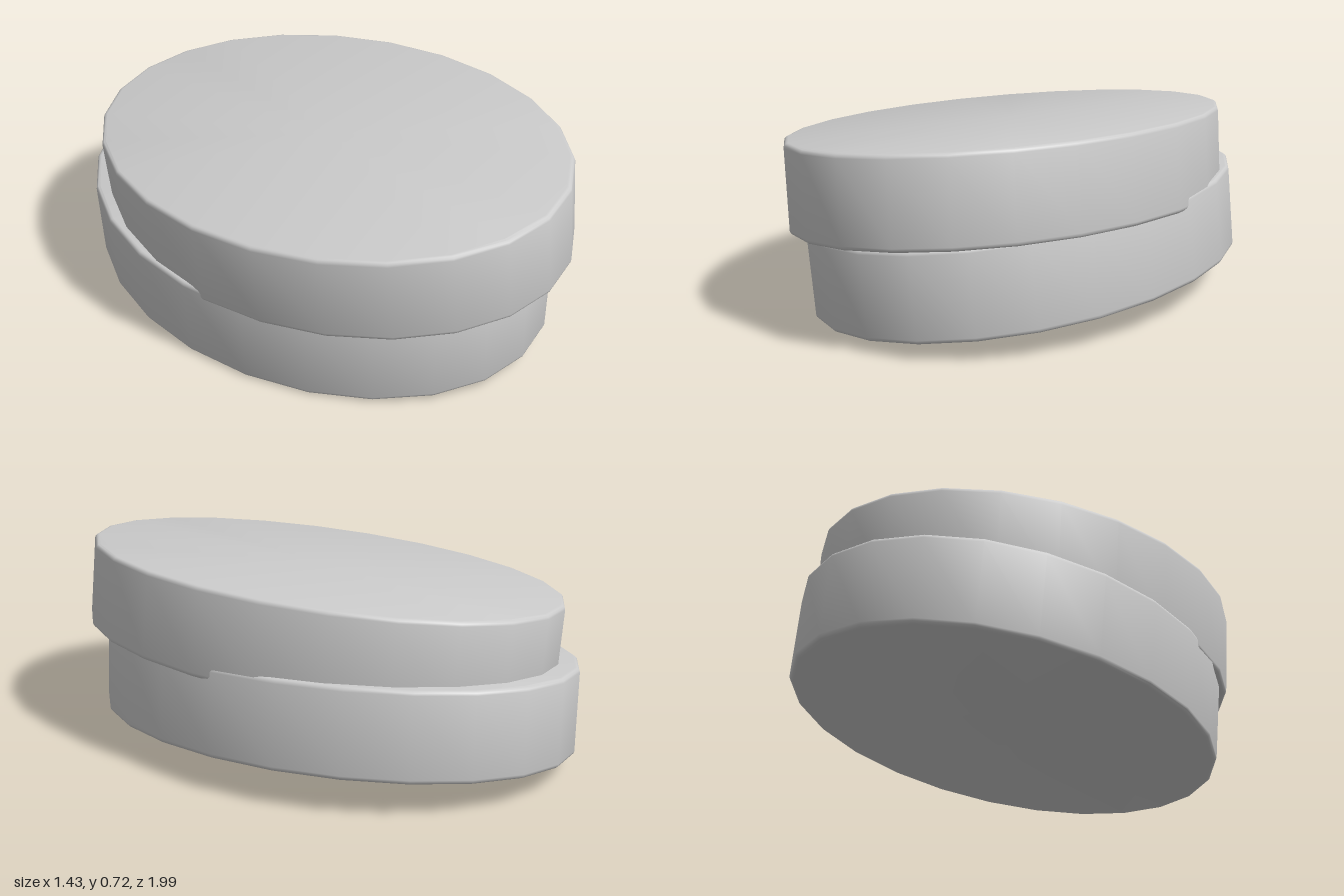
import * as THREE from 'three';
import { toCreasedNormals } from 'three/addons/utils/BufferGeometryUtils.js';

const HEIGHT = 0.315, BEVEL = 0.016;

// Oval slab with softly rounded rims, standing on its own y = 0
function ovalSlab(radiusX, radiusZ) {
  const profile = [new THREE.Vector2(0, 0)];
  for (const top of [false, true]) {
    for (let i = 0; i <= 3; i++) {
      const a = (top ? i : i - 3) * Math.PI / 6;
      const y = (top ? HEIGHT - BEVEL : BEVEL) + BEVEL * Math.sin(a);
      profile.push(new THREE.Vector2(1 - BEVEL * 1.2 * (1 - Math.cos(a)), y));
    }
  }
  profile.push(new THREE.Vector2(0, HEIGHT));
  const geometry = new THREE.LatheGeometry(profile, 24);
  geometry.scale(radiusX, 1, radiusZ);
  geometry.rotateY(0.07); // slight turn of the long axis
  return toCreasedNormals(geometry, 0.7);
}

export function createModel() {
  const group = new THREE.Group();
  group.name = 'stackedOvals';
  const material = new THREE.MeshStandardMaterial({ color: 0xcccccc });
  const geometry = ovalSlab(0.7, 0.95);

  // Two slabs, tilted apart like a slightly opened case
  const slabs = [
    { name: 'lowerHalf', base: [0.0175, 0.063, -0.045], axis: [-0.085, 1, 0.031] },
    { name: 'upperHalf', base: [0.007, 0.332, 0.05], axis: [-0.088, 1, -0.035] },
  ];
  for (const { name, base, axis } of slabs) {
    const mesh = new THREE.Mesh(geometry, material);
    mesh.name = name;
    mesh.position.set(...base);
    mesh.quaternion.setFromUnitVectors(
      new THREE.Vector3(0, 1, 0), new THREE.Vector3(...axis).normalize());
    group.add(mesh);
  }
  return group;
}
